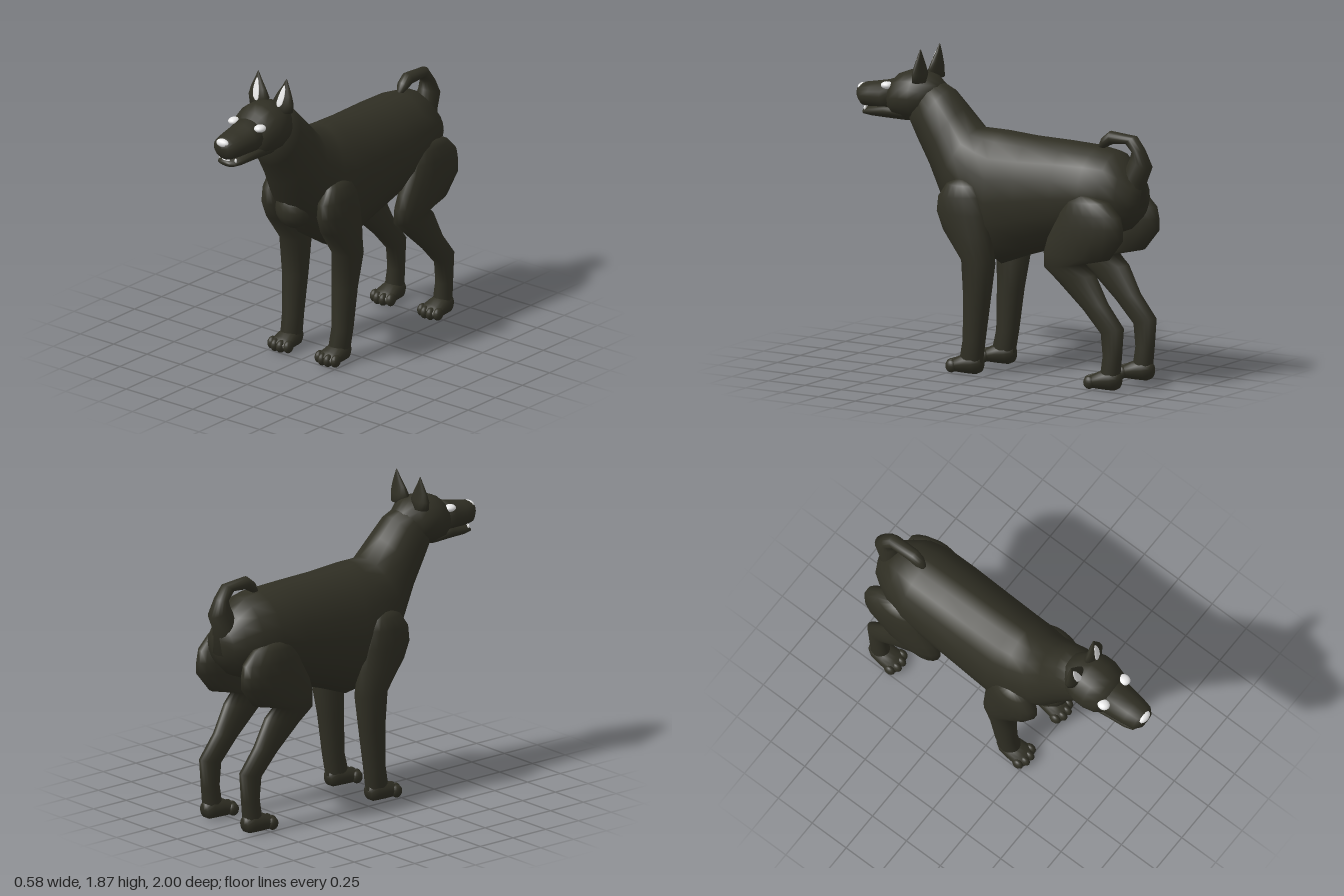
import * as THREE from 'three';

const coat = new THREE.MeshStandardMaterial({ color: 0x302f24 });
coat.name = 'dark coat';
const white = new THREE.MeshStandardMaterial({ color: 0xeeeeee });
white.name = 'white';

// Skin a row of oval sections: [centre x, half width, y1, z1, y2, z2],
// where (y1, z1) and (y2, z2) are opposite edge points of the oval.
function loft(name, sections, material = coat, side = 1, seg = 18) {
  const pos = [], idx = [], n = sections.length;
  for (const [cx, hw, y1, z1, y2, z2] of sections) {
    for (let i = 0; i < seg; i++) {
      const t = (i / seg) * Math.PI * 2, c = Math.cos(t), s = Math.sin(t);
      pos.push(side * cx + c * hw, (y1 + y2) / 2 + s * (y1 - y2) / 2, (z1 + z2) / 2 + s * (z1 - z2) / 2);
    }
  }
  for (let r = 0; r < n - 1; r++) {
    for (let i = 0; i < seg; i++) {
      const a = r * seg + i, b = r * seg + (i + 1) % seg;
      idx.push(a, b, a + seg, b, b + seg, a + seg);
    }
  }
  // end caps
  for (const [r, flip] of [[0, true], [n - 1, false]]) {
    const [cx, , y1, z1, y2, z2] = sections[r], k = pos.length / 3;
    pos.push(side * cx, (y1 + y2) / 2, (z1 + z2) / 2);
    for (let i = 0; i < seg; i++) {
      const a = r * seg + i, b = r * seg + (i + 1) % seg;
      if (flip) idx.push(k, b, a); else idx.push(k, a, b);
    }
  }
  // turn the faces outward if the signed volume is negative
  let volume = 0;
  const p = (i) => new THREE.Vector3().fromArray(pos, i * 3);
  for (let i = 0; i < idx.length; i += 3) volume += p(idx[i]).dot(p(idx[i + 1]).cross(p(idx[i + 2])));
  if (volume < 0) idx.reverse();
  const geo = new THREE.BufferGeometry();
  geo.setAttribute('position', new THREE.Float32BufferAttribute(pos, 3));
  geo.setIndex(idx);
  geo.computeVertexNormals();
  const mesh = new THREE.Mesh(geo, material);
  mesh.name = name;
  return mesh;
}

function blob(name, x, y, z, rx, ry, rz, material = coat) {
  const mesh = new THREE.Mesh(new THREE.SphereGeometry(1, 16, 10), material);
  mesh.position.set(x, y, z);
  mesh.scale.set(rx, ry, rz);
  mesh.name = name;
  return mesh;
}

// Paw with four toes; z is the heel
function paw(name, side, z) {
  const g = new THREE.Group();
  g.name = name;
  g.add(loft('pawPad', [
    [0.18, 0.035, 0.1, z - 0.005, 0.015, z],
    [0.18, 0.06, 0.13, z + 0.04, 0, z + 0.03],
    [0.18, 0.07, 0.115, z + 0.11, 0, z + 0.1],
    [0.177, 0.074, 0.09, z + 0.165, 0.002, z + 0.165],
    [0.177, 0.055, 0.065, z + 0.205, 0.015, z + 0.205],
  ], coat, side));
  [-0.06, -0.021, 0.021, 0.06].forEach((dx, i) => {
    const reach = i === 1 || i === 2 ? 0.19 : 0.17;
    g.add(blob('toe', side * (0.177 + dx), 0.043, z + reach, 0.025, 0.038, 0.036));
  });
  return g;
}

export function createModel() {
  const model = new THREE.Group();
  model.name = 'dog';

  // Neck, chest, barrel and rump in one skin
  model.add(loft('body', [
    [0, 0.13, 1.69, 0.5, 1.43, 0.63],
    [0, 0.155, 1.63, 0.37, 1.32, 0.57],
    [0, 0.175, 1.53, 0.27, 1.17, 0.48],
    [0, 0.205, 1.425, 0.17, 0.98, 0.385],
    [0, 0.235, 1.425, 0.07, 0.78, 0.23],
    [0, 0.25, 1.425, 0, 0.635, 0.0],
    [0, 0.25, 1.412, -0.2, 0.71, -0.2],
    [0, 0.25, 1.408, -0.45, 0.79, -0.45],
    [0, 0.245, 1.4, -0.65, 0.84, -0.62],
    [0, 0.215, 1.38, -0.77, 0.88, -0.75],
    [0, 0.165, 1.31, -0.85, 0.92, -0.85],
    [0, 0.12, 1.23, -0.92, 0.98, -0.91],
    [0, 0.06, 1.18, -0.95, 1.05, -0.94],
  ]));
  model.add(blob('breast', 0, 0.975, 0.32, 0.115, 0.12, 0.1));

  // Curled tail
  model.add(loft('tail', [
    [0, 0.09, 1.06, -0.95, 1.1, -0.8],
    [0, 0.075, 1.2, -0.955, 1.28, -0.83],
    [0, 0.06, 1.3, -1.0, 1.35, -0.86],
    [0, 0.05, 1.4, -0.95, 1.39, -0.875],
    [0, 0.042, 1.48, -0.895, 1.43, -0.83],
    [0, 0.04, 1.495, -0.72, 1.42, -0.74],
    [0, 0.036, 1.45, -0.665, 1.4, -0.7],
    [0, 0.018, 1.4, -0.64, 1.38, -0.665],
  ]));

  // Head
  model.add(loft('skull', [
    [0, 0.09, 1.66, 0.43, 1.5, 0.46],
    [0, 0.145, 1.708, 0.5, 1.43, 0.52],
    [0, 0.163, 1.725, 0.57, 1.42, 0.58],
    [0, 0.164, 1.722, 0.64, 1.42, 0.64],
    [0, 0.145, 1.695, 0.71, 1.43, 0.71],
    [0, 0.1, 1.64, 0.77, 1.45, 0.75],
  ]));
  model.add(loft('muzzle', [
    [0, 0.12, 1.68, 0.7, 1.46, 0.7],
    [0, 0.108, 1.642, 0.8, 1.465, 0.8],
    [0, 0.097, 1.625, 0.89, 1.47, 0.89],
    [0, 0.083, 1.613, 0.955, 1.475, 0.955],
    [0, 0.05, 1.595, 0.992, 1.5, 0.985],
  ]));
  model.add(loft('lowerJaw', [
    [0, 0.12, 1.53, 0.64, 1.42, 0.64],
    [0, 0.1, 1.52, 0.78, 1.42, 0.78],
    [0, 0.085, 1.49, 0.89, 1.422, 0.89],
    [0, 0.065, 1.47, 0.94, 1.427, 0.94],
    [0, 0.035, 1.46, 0.955, 1.437, 0.955],
  ]));
  model.add(blob('nose', 0, 1.583, 0.973, 0.045, 0.025, 0.027, white));
  model.add(blob('frontTeeth', 0, 1.472, 0.945, 0.03, 0.007, 0.012, white));

  for (const side of [1, -1]) {
    const label = side > 0 ? 'left' : 'right';
    model.add(blob(label + 'Eye', side * 0.097, 1.629, 0.75, 0.034, 0.022, 0.038, white));
    model.add(blob(label + 'Fang', side * 0.058, 1.47, 0.925, 0.008, 0.014, 0.008, white));

    // Ear and its pale inner plate
    model.add(loft(label + 'Ear', [
      [0.1, 0.055, 1.67, 0.565, 1.67, 0.49],
      [0.09, 0.074, 1.72, 0.562, 1.72, 0.495],
      [0.097, 0.054, 1.77, 0.548, 1.77, 0.502],
      [0.103, 0.026, 1.82, 0.533, 1.82, 0.506],
      [0.106, 0.002, 1.867, 0.519, 1.867, 0.513],
    ], coat, side));
    model.add(loft(label + 'InnerEar', [
      [0.083, 0.01, 1.705, 0.569, 1.705, 0.561],
      [0.088, 0.022, 1.725, 0.566, 1.725, 0.558],
      [0.096, 0.021, 1.77, 0.553, 1.77, 0.545],
      [0.1, 0.013, 1.81, 0.541, 1.81, 0.533],
      [0.102, 0.003, 1.83, 0.534, 1.83, 0.527],
    ], white, side));

    // Front leg with shoulder
    model.add(loft(label + 'FrontLeg', [
      [0.2, 0.03, 1.15, 0.21, 1.15, 0.12],
      [0.205, 0.06, 1.12, 0.27, 1.12, 0.06],
      [0.207, 0.078, 1.04, 0.325, 1.06, 0.02],
      [0.207, 0.084, 0.95, 0.335, 0.95, -0.01],
      [0.203, 0.085, 0.85, 0.295, 0.82, -0.03],
      [0.195, 0.088, 0.68, 0.168, 0.66, -0.04],
      [0.185, 0.073, 0.45, 0.162, 0.45, -0.005],
      [0.185, 0.062, 0.2, 0.168, 0.2, 0.03],
      [0.18, 0.06, 0.1, 0.19, 0.08, 0.048],
      [0.18, 0.05, 0.04, 0.18, 0.03, 0.06],
    ], coat, side));
    model.add(paw(label + 'FrontPaw', side, 0.055));

    // Hind leg with thigh and hock
    model.add(loft(label + 'HindLeg', [
      [0.2, 0.035, 1.14, -0.6, 1.14, -0.73],
      [0.2, 0.07, 1.1, -0.55, 1.11, -0.83],
      [0.2, 0.085, 1.03, -0.5, 1.03, -0.91],
      [0.2, 0.09, 0.96, -0.47, 0.96, -0.925],
      [0.2, 0.09, 0.87, -0.42, 0.89, -0.925],
      [0.195, 0.085, 0.78, -0.39, 0.77, -0.83],
      [0.19, 0.072, 0.69, -0.39, 0.73, -0.66],
      [0.183, 0.06, 0.61, -0.48, 0.67, -0.73],
      [0.18, 0.052, 0.46, -0.65, 0.51, -0.81],
      [0.18, 0.047, 0.33, -0.77, 0.37, -0.92],
      [0.18, 0.047, 0.2, -0.785, 0.2, -0.905],
      [0.18, 0.055, 0.09, -0.77, 0.07, -0.89],
      [0.18, 0.045, 0.04, -0.77, 0.03, -0.88],
    ], coat, side));
    model.add(paw(label + 'HindPaw', side, -0.89));
  }
  return model;
}
